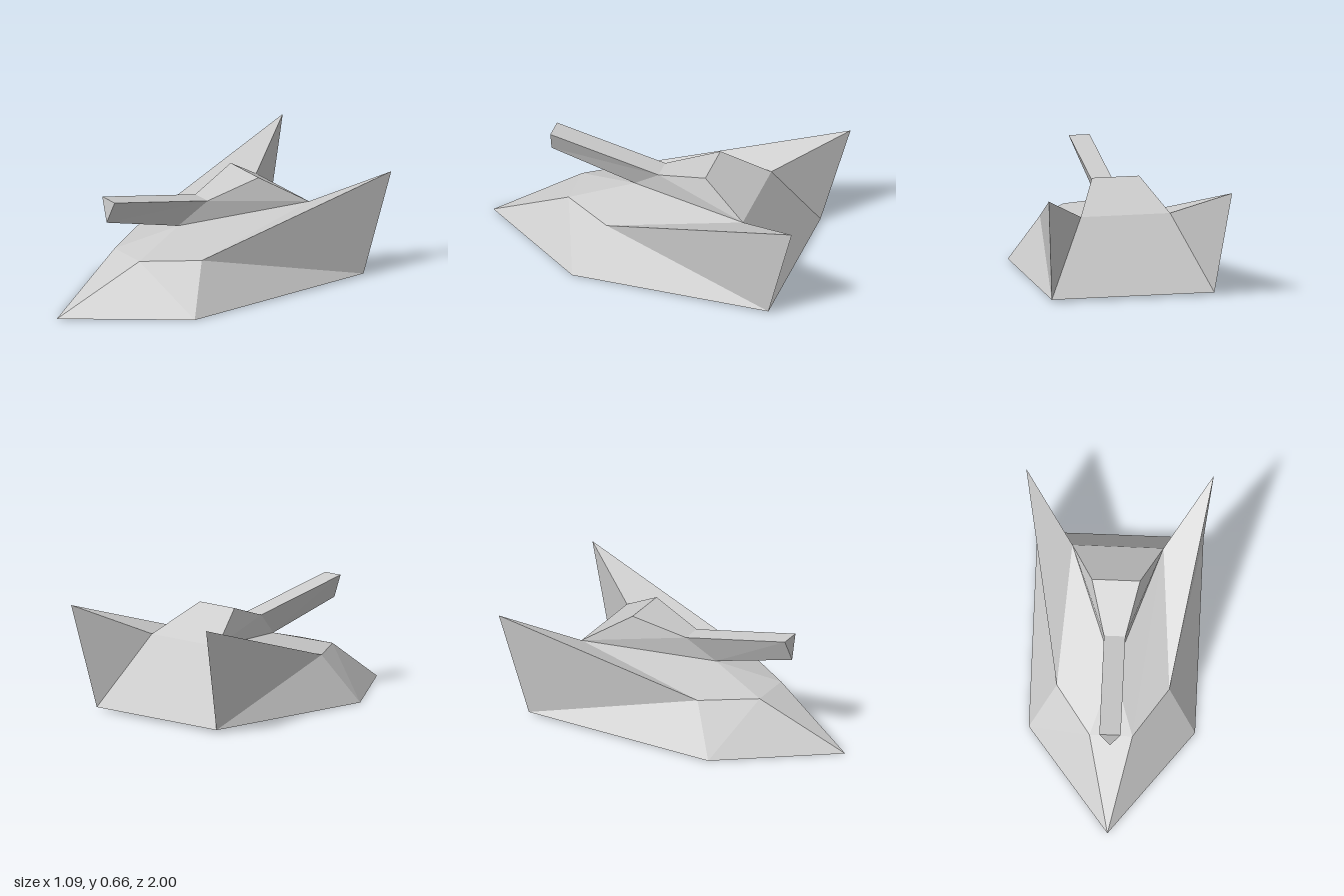
import * as THREE from 'three';

// Key corners on the left (+x) half: half width, height, depth, centre line offset
const C0 = 0.007;
const P = {
  nose: [0, 0, 1, C0],
  skirt: [0.483, 0.003, 0.36, C0],
  rear: [0.483, 0.015, -0.84, C0],
  bow: [0.125, 0.285, 0.5, C0],
  side: [0.327, 0.287, 0.2, C0],
  back: [0.265, 0.447, -0.61, 0.002],
  fin: [0.545, 0.635, -1, -0.002],
  collar: [0, 0.382, 0.135, C0],
  roof: [0.14, 0.617, -0.34, 0.002],
  mount: [0.062, 0.52, -0.03, C0],
  muzzle: [0.062, 0.66, 0.632, C0],
  muzzleLow: [0, 0.52, 0.645, C0],
};

// A leading "-" picks the mirrored corner
function corner(name) {
  const mirrored = name[0] === '-';
  const [x, y, z, c] = P[mirrored ? name.slice(1) : name];
  return [c + (mirrored ? -x : x), y, z];
}

const mirrorFace = (face) =>
  face.split(' ').reverse().map((n) => (n[0] === '-' ? n.slice(1) : '-' + n)).join(' ');

// Flat-shaded panels: each face is a fan of counter-clockwise corners
function panels(name, faces) {
  const pos = [];
  for (const face of faces) {
    const c = face.split(' ').map(corner);
    for (let i = 1; i < c.length - 1; i++) pos.push(...c[0], ...c[i], ...c[i + 1]);
  }
  const geometry = new THREE.BufferGeometry();
  geometry.setAttribute('position', new THREE.Float32BufferAttribute(pos, 3));
  geometry.computeVertexNormals();
  const material = new THREE.MeshStandardMaterial({ color: 0xcccccc, flatShading: true });
  const mesh = new THREE.Mesh(geometry, material);
  mesh.name = name;
  return mesh;
}

const both = (faces) => [...faces, ...faces.map(mirrorFace)];

export function createModel() {
  const group = new THREE.Group();
  group.name = 'wedgeTank';

  // Hull: sloped sides and deck, bow plate, stern and floor
  group.add(panels('hull', [
    ...both(['skirt rear side', 'nose skirt bow', 'skirt side bow', 'bow side back', 'bow back collar']),
    'nose bow -bow',
    '-bow bow collar',
    'rear -rear -back back',
    'nose -skirt -rear rear skirt',
  ]));

  // Swept rear fins
  const fin = ['side rear fin', 'side fin back', 'back fin rear'];
  group.add(panels('leftFin', fin));
  group.add(panels('rightFin', fin.map(mirrorFace)));

  // Turret tapering forward to the gun mount
  group.add(panels('turret', [
    ...both(['back roof mount', 'back mount collar']),
    '-mount mount roof -roof',
    'back -back -roof roof',
  ]));

  // Triangular gun barrel
  group.add(panels('barrel', [
    ...both(['muzzleLow collar mount muzzle']),
    '-muzzle muzzle mount -mount',
    'muzzleLow muzzle -muzzle',
  ]));

  return group;
}
